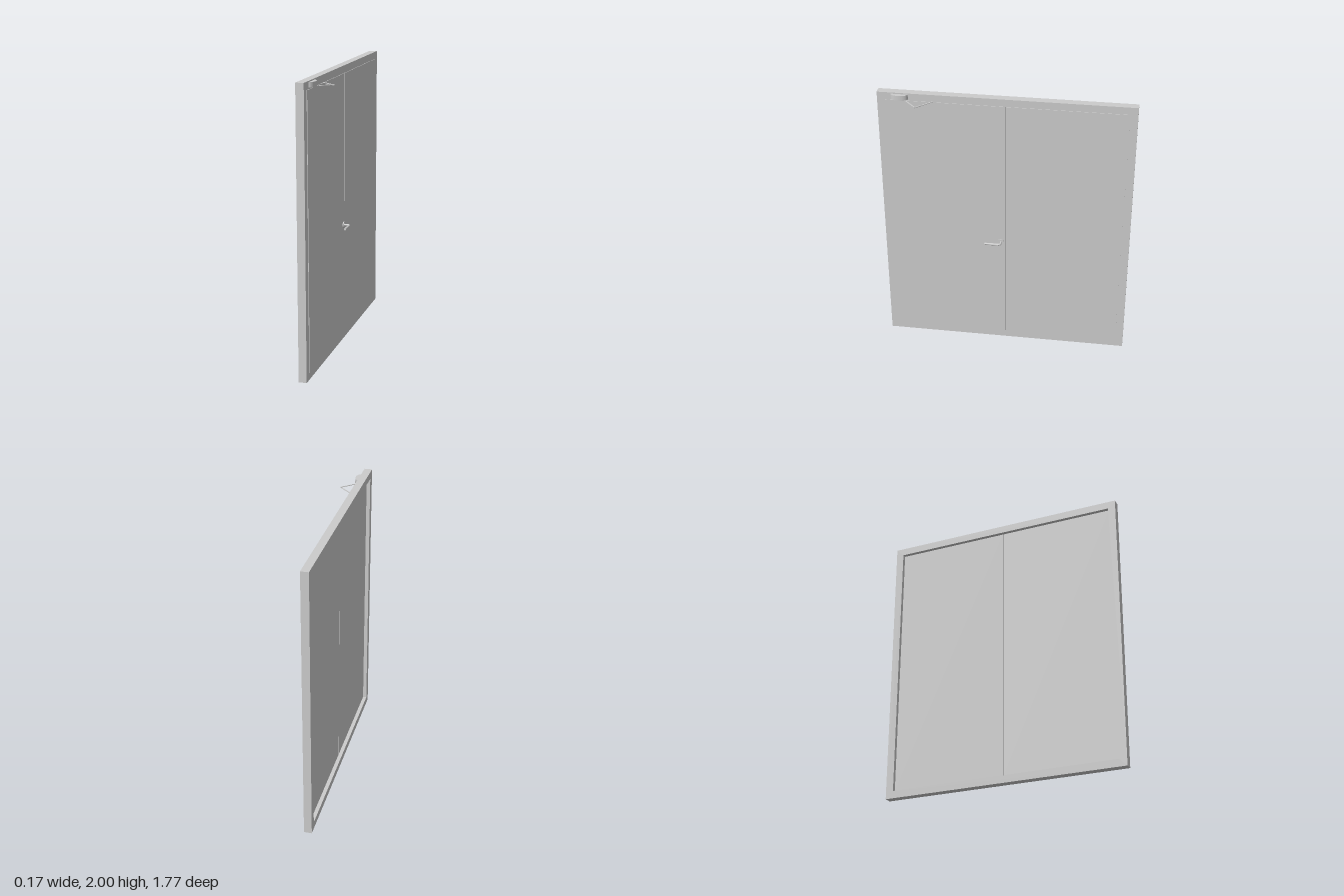
import * as THREE from 'three';

export function createModel() {
  const group = new THREE.Group();
  const grey = new THREE.MeshStandardMaterial({ color: 0xcccccc });
  grey.name = 'light grey';

  const add = (name, geometry, x = 0, y = 0, z = 0) => {
    const mesh = new THREE.Mesh(geometry, grey);
    mesh.name = name;
    mesh.position.set(x, y, z);
    group.add(mesh);
    return mesh;
  };
  const rect = (Path, w, y0, y1) => new Path([
    [-w, y0], [w, y0], [w, y1], [-w, y1],
  ].map(([a, b]) => new THREE.Vector2(a, b)));

  // Frame: a rectangular ring, extruded along x
  const ring = rect(THREE.Shape, 0.885, 0, 2);
  ring.holes.push(rect(THREE.Path, 0.83, 0.053, 1.947));
  const frame = new THREE.ExtrudeGeometry(ring, { depth: 0.056, bevelEnabled: false });
  frame.rotateY(Math.PI / 2);
  add('frame', frame, -0.085);

  // Two leaves with a narrow gap, slightly proud of the frame
  for (const side of [1, -1]) {
    add(side > 0 ? 'leftLeaf' : 'rightLeaf',
      new THREE.BoxGeometry(0.033, 1.894, 0.828), -0.0415, 1, side * 0.416);
  }

  // Lever handle: round plate and a bent bar
  const plate = new THREE.CylinderGeometry(0.022, 0.022, 0.007, 24);
  plate.rotateZ(Math.PI / 2);
  add('handlePlate', plate, -0.0215, 0.865, 0.035);
  const lever = new THREE.CurvePath();
  const v = (x, z) => new THREE.Vector3(x, 0.865, z);
  lever.add(new THREE.LineCurve3(v(-0.025, 0.034), v(0.002, 0.034)));
  lever.add(new THREE.QuadraticBezierCurve3(v(0.002, 0.034), v(0.02, 0.034), v(0.02, 0.052)));
  lever.add(new THREE.LineCurve3(v(0.02, 0.052), v(0.02, 0.15)));
  add('handleLever', new THREE.TubeGeometry(lever, 40, 0.008, 12));
  const cap = new THREE.CircleGeometry(0.008, 12);
  add('handleEnd', cap, 0.02, 0.865, 0.15);

  // Door closer: bow-fronted housing
  const bow = new THREE.Shape();
  bow.moveTo(-0.028, -0.79);
  bow.bezierCurveTo(-0.008, -0.785, 0.002, -0.76, 0.002, -0.73);
  bow.bezierCurveTo(0.002, -0.70, -0.008, -0.675, -0.028, -0.67);
  bow.closePath();
  const housing = new THREE.ExtrudeGeometry(bow, { depth: 0.035, bevelEnabled: false, curveSegments: 10 });
  housing.rotateX(-Math.PI / 2);
  add('closerHousing', housing, 0, 1.957, 0);

  // Door closer: two flat arms meeting at an elbow
  const arm = (name, x0, z0, x1, z1, y) => {
    const length = Math.hypot(x1 - x0, z1 - z0) + 0.008;
    const bar = add(name, new THREE.BoxGeometry(0.008, 0.004, length), (x0 + x1) / 2, y, (z0 + z1) / 2);
    bar.rotation.y = Math.atan2(x1 - x0, z1 - z0);
  };
  arm('closerUpperArm', -0.012, 0.688, 0.079, 0.603, 1.955);
  arm('closerLowerArm', 0.079, 0.603, -0.021, 0.503, 1.952);

  return group;
}
